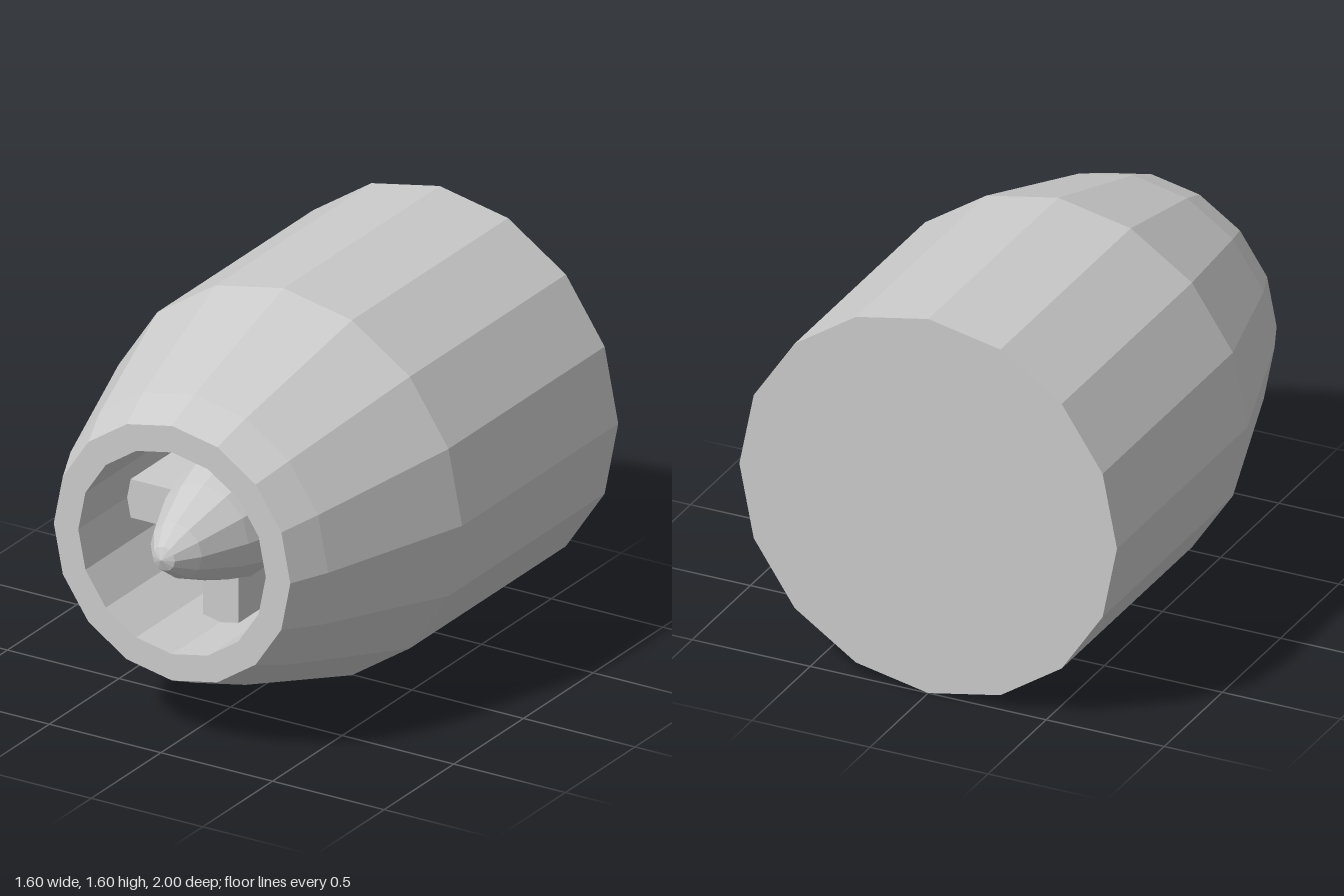
import * as THREE from 'three';

const AXIS_HEIGHT = 0.8;

export function createModel() {
  const model = new THREE.Group();
  model.name = 'engine';
  const material = new THREE.MeshStandardMaterial({ color: 0xcccccc, flatShading: true });

  // Faceted body of revolution along z, from [radius, z] pairs
  const turned = (name, profile, sides) => {
    const points = profile.map(([r, z]) => new THREE.Vector2(r, z));
    const geometry = new THREE.LatheGeometry(points, sides).rotateX(Math.PI / 2);
    const mesh = new THREE.Mesh(geometry, material);
    mesh.name = name;
    mesh.position.y = AXIS_HEIGHT;
    model.add(mesh);
  };

  // Housing: closed back, tapered nose, flat lip and hollow bore
  turned('housing', [
    [0, -1], [0.8, -1], [0.8, 0.12], [0.6, 0.76], [0.53, 0.92],
    [0.42, 0.92], [0.42, 0.1], [0, 0.1],
  ], 16);

  // Pointed centre cone
  turned('centreCone', [
    [0.24, 0.1], [0.24, 0.55], [0.2, 0.69], [0.115, 0.89], [0.05, 0.98], [0, 1],
  ], 12);

  // Four struts between cone and bore
  const strutGeometry = new THREE.BoxGeometry(0.26, 0.16, 0.3).translate(0.31, 0, 0.42);
  for (let i = 0; i < 4; i++) {
    const strut = new THREE.Mesh(strutGeometry, material);
    strut.name = `strut${i + 1}`;
    strut.position.y = AXIS_HEIGHT;
    strut.rotation.z = (i * Math.PI) / 2;
    model.add(strut);
  }

  return model;
}
